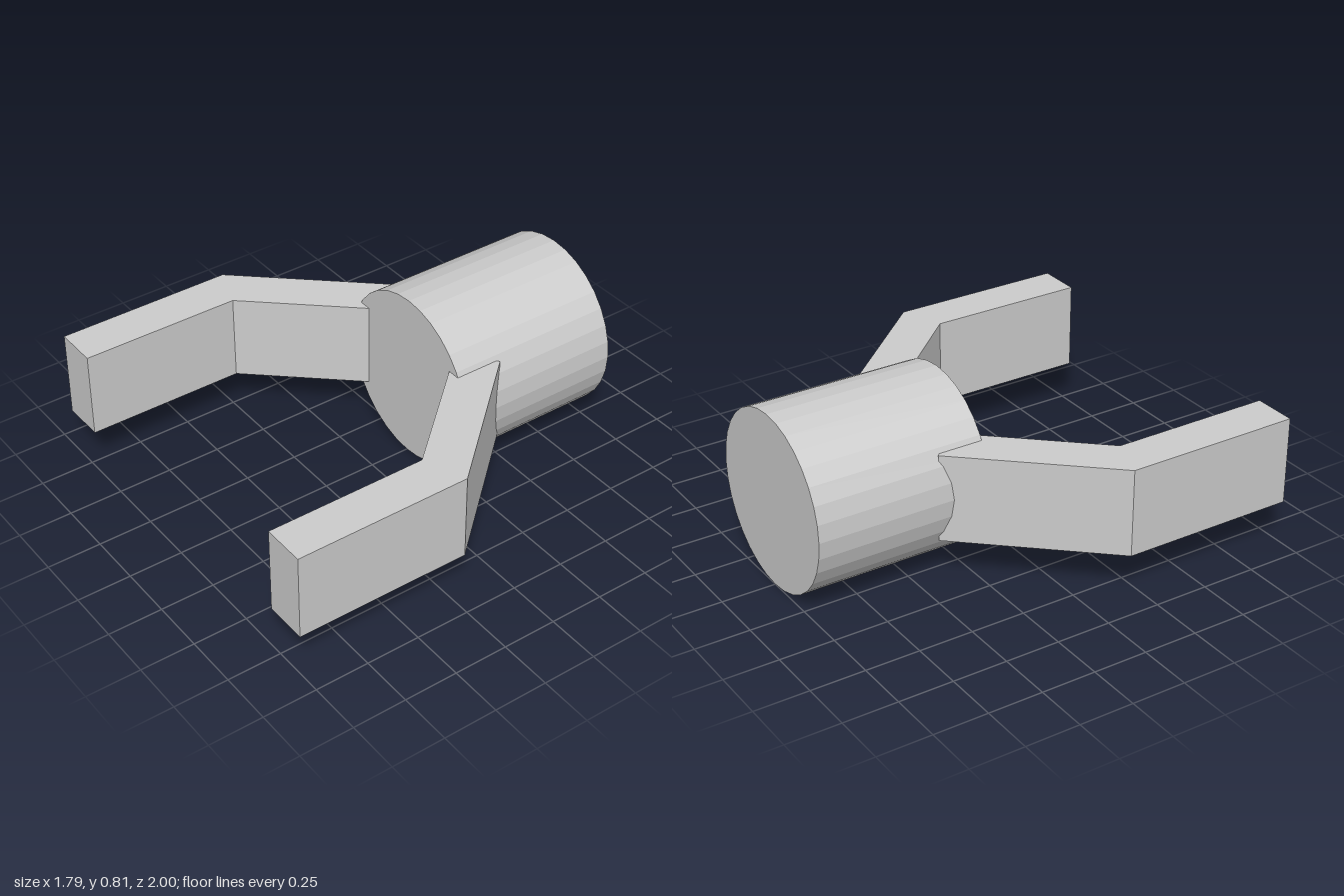
import * as THREE from 'three';

const material = new THREE.MeshStandardMaterial({ color: 0xcccccc, flatShading: true });

// Bent arm: plan outline in (x, z), extruded upwards; side = 1 or -1
function createArm(side) {
  const outline = [
    [0.695, 1], [0.895, 1], [0.895, 0.185],
    [0.36, -0.412], [0.212, -0.278], [0.695, 0.26],
  ];
  const shape = new THREE.Shape(outline.map(([x, z]) => new THREE.Vector2(side * x, z)));
  const geometry = new THREE.ExtrudeGeometry(shape, { depth: 0.404, bevelEnabled: false });
  geometry.rotateX(Math.PI / 2);
  geometry.translate(0, 0.607, 0);
  const arm = new THREE.Mesh(geometry, material);
  arm.name = side > 0 ? 'leftArm' : 'rightArm';
  return arm;
}

export function createModel() {
  const group = new THREE.Group();
  group.name = 'gripper';

  // Faceted drum lying along z
  const radius = 0.404, length = 0.807;
  const drum = new THREE.Mesh(new THREE.CylinderGeometry(radius, radius, length, 32), material);
  drum.name = 'drum';
  drum.rotation.x = Math.PI / 2;
  drum.position.set(0, radius, -1 + length / 2);
  group.add(drum);

  // Mirrored pair of arms
  for (const side of [1, -1]) group.add(createArm(side));
  return group;
}
